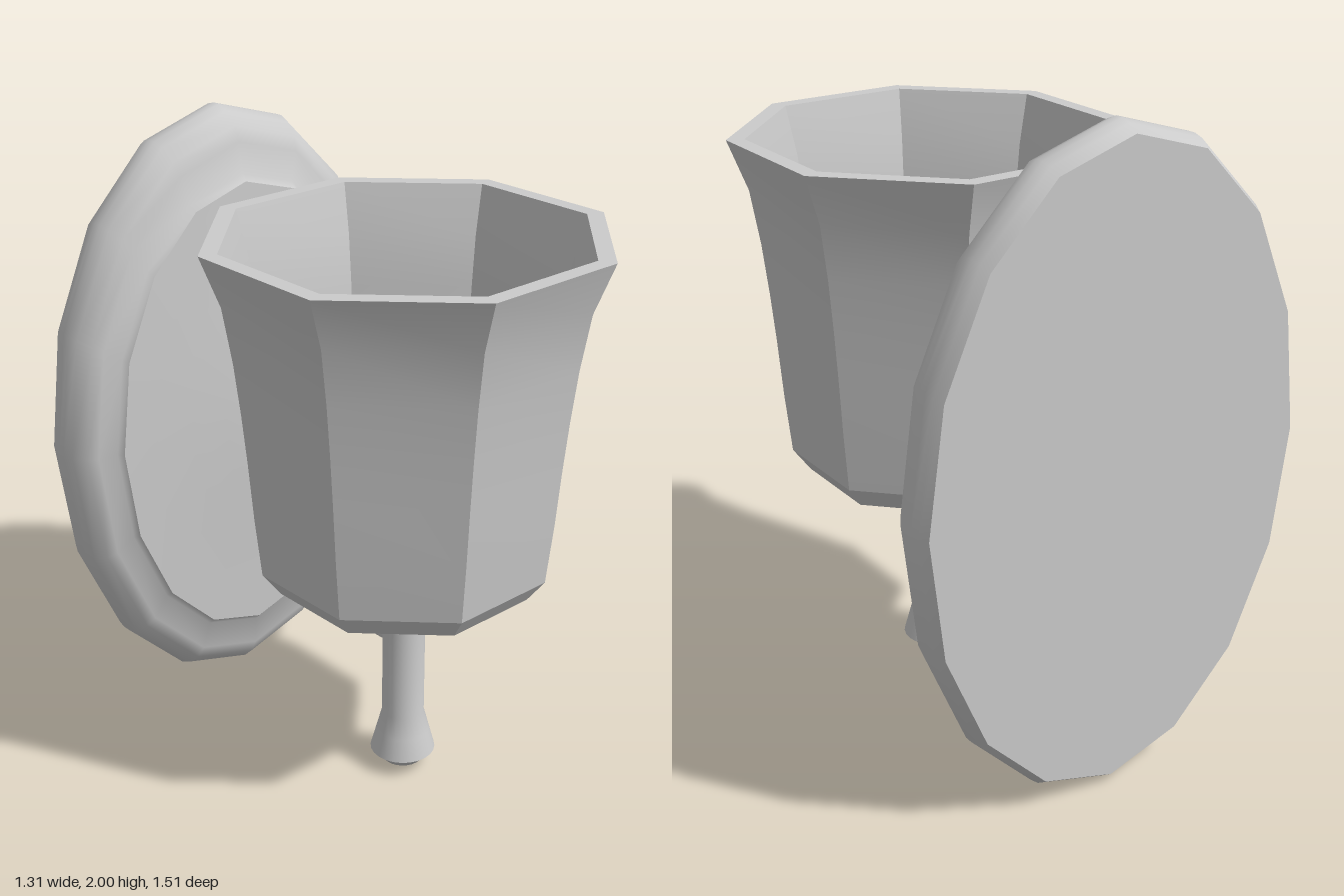
import * as THREE from 'three';
import { toCreasedNormals } from 'three/addons/utils/BufferGeometryUtils.js';

const STEM_Z = 0.19;

// Lathe from [radius, height] pairs, with edges sharper than the crease angle kept hard
function lathe(points, segments, crease, phase = 0, radiusScale = 1) {
  const profile = points.map(([r, y]) => new THREE.Vector2(r * radiusScale, y));
  const geometry = new THREE.LatheGeometry(profile, segments, phase);
  return toCreasedNormals(geometry, crease);
}

export function createModel() {
  const model = new THREE.Group();
  model.name = 'wallLamp';
  const material = new THREE.MeshStandardMaterial({ color: 0xcccccc });
  const openMaterial = new THREE.MeshStandardMaterial({ color: 0xcccccc, side: THREE.DoubleSide });

  function add(name, geometry, mat = material) {
    const mesh = new THREE.Mesh(geometry, mat);
    mesh.name = name;
    model.add(mesh);
    return mesh;
  }

  // Oval wall plate: round 16-sided lathe turned to face +z and narrowed in x
  const plate = lathe([
    [0, -0.755], [0.97, -0.755], [0.992, -0.725], [1, -0.695], [1, -0.67], [0.985, -0.635],
    [0.945, -0.593], [0.9, -0.572], [0.8, -0.565], [0.78, -0.545], [0.6, -0.539],
    [0.4, -0.53], [0.2, -0.519], [0, -0.515],
  ], 16, 0.75);
  plate.rotateX(Math.PI / 2);
  plate.scale(0.655, 1, 1);
  plate.translate(0, 1, 0);
  add('wallPlate', plate);

  // Octagonal flared shade: outside, rim, inside and floor; profile radii run to the flats
  const shade = lathe([
    [0.165, 0.672], [0.37, 0.70], [0.42, 0.772], [0.438, 0.96], [0.452, 1.15], [0.465, 1.3],
    [0.482, 1.46], [0.508, 1.63], [0.563, 1.785],
    [0.513, 1.785], [0.475, 1.63], [0.455, 1.47], [0.41, 0.85], [0.38, 0.745],
    [0.17, 0.70], [0.165, 0.672],
  ], 8, 0.5, Math.PI / 8, 1 / Math.cos(Math.PI / 8));
  add('shade', shade, openMaterial).position.z = STEM_Z;

  // Hollow cup under the shade
  const cup = lathe([
    [0.065, 0.567], [0.12, 0.567], [0.165, 0.59], [0.228, 0.638], [0.23, 0.66], [0.2, 0.672], [0.165, 0.672],
    [0.12, 0.6], [0.065, 0.575],
  ], 24, 0.6);
  add('cup', cup, openMaterial).position.z = STEM_Z;

  // Stem with flared foot and rounded end
  const stem = lathe([
    [0, 0.008], [0.035, 0.01], [0.065, 0.02], [0.085, 0.045], [0.104, 0.058],
    [0.085, 0.13], [0.067, 0.2], [0.067, 0.575],
  ], 24, 0.6);
  add('stem', stem, openMaterial).position.z = STEM_Z;

  // Curved arm from the stem up to the ball: straight runs joined in a polyline
  const path = new THREE.CurvePath();
  const armPoints = [
    [0.46, 0.16], [0.46, -0.08], [0.493, -0.205], [0.57, -0.32], [0.68, -0.405], [0.81, -0.435], [0.98, -0.435],
  ].map(([y, z]) => new THREE.Vector3(0, y, z));
  const bend = new THREE.CatmullRomCurve3(armPoints.slice(1, 6), false, 'centripetal');
  path.add(new THREE.LineCurve3(armPoints[0], armPoints[1]));
  path.add(bend);
  path.add(new THREE.LineCurve3(armPoints[5], armPoints[6]));
  add('arm', new THREE.TubeGeometry(path, 40, 0.033, 12), openMaterial);

  // Ball joint against the wall plate, poles pointing sideways
  const ball = new THREE.SphereGeometry(0.09, 24, 8);
  ball.rotateZ(Math.PI / 2);
  add('ballJoint', ball).position.set(0, 1, -0.435);

  return model;
}
